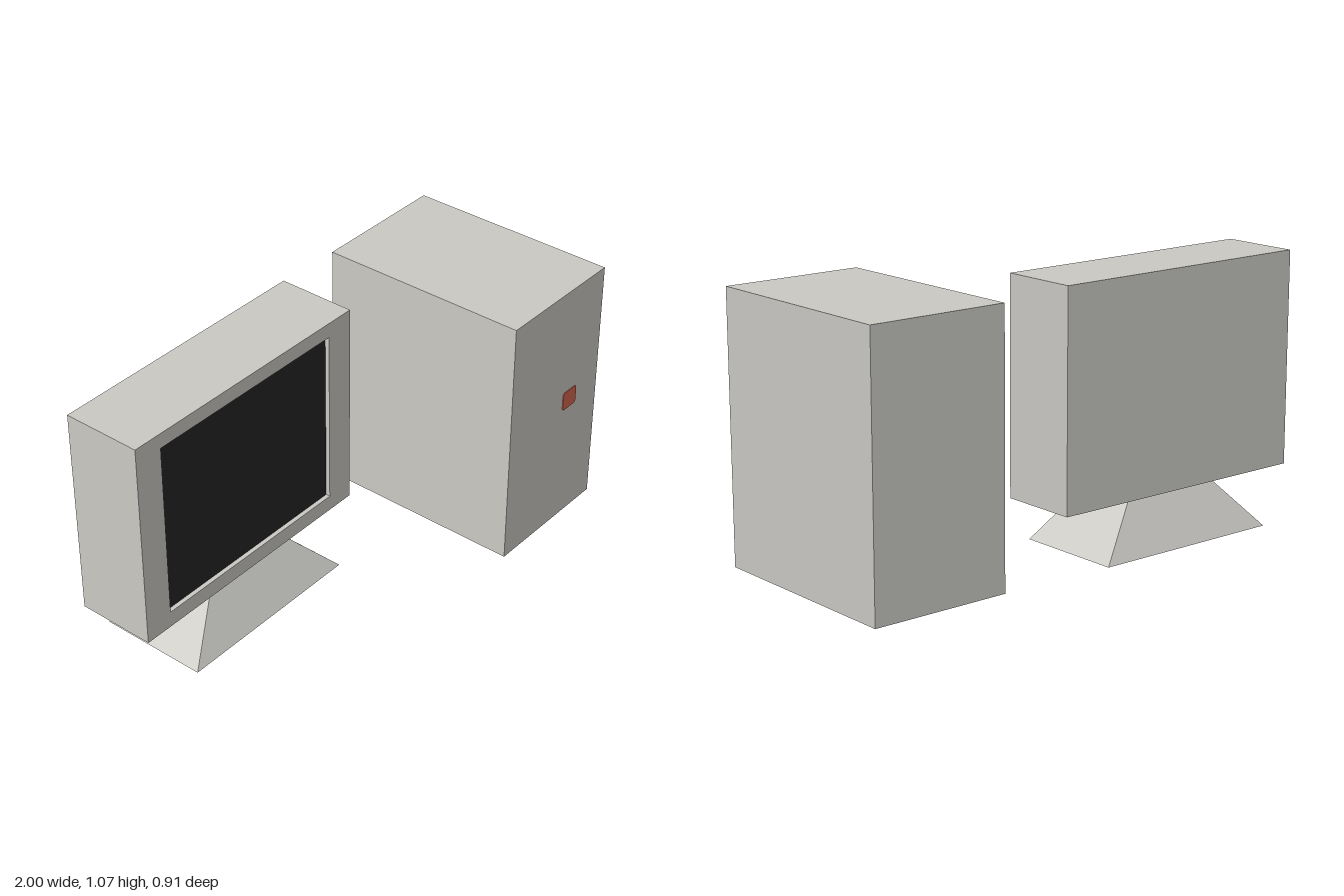
import * as THREE from 'three';

const material = (name, color) => {
  const m = new THREE.MeshStandardMaterial({ color });
  m.name = name;
  return m;
};

// Rectangle path with optional rounded corners
function rectangle(path, x0, y0, x1, y1, r = 0) {
  path.moveTo(x0 + r, y0);
  path.lineTo(x1 - r, y0);
  if (r) path.quadraticCurveTo(x1, y0, x1, y0 + r);
  path.lineTo(x1, y1 - r);
  if (r) path.quadraticCurveTo(x1, y1, x1 - r, y1);
  path.lineTo(x0 + r, y1);
  if (r) path.quadraticCurveTo(x0, y1, x0, y1 - r);
  path.lineTo(x0, y0 + r);
  if (r) path.quadraticCurveTo(x0, y0, x0 + r, y0);
  return path;
}

// Box given by its lower and upper corners
function boxBetween([x0, y0, z0], [x1, y1, z1]) {
  return new THREE.BoxGeometry(x1 - x0, y1 - y0, z1 - z0)
    .translate((x0 + x1) / 2, (y0 + y1) / 2, (z0 + z1) / 2);
}

export function createModel() {
  const model = new THREE.Group();
  model.name = 'desktopComputer';
  const grey = material('caseGrey', 0xcccbc6);
  const black = material('black', 0x252525);
  const red = material('buttonRed', 0xd4664e);

  const add = (parent, name, geometry, mat) => {
    const mesh = new THREE.Mesh(geometry, mat);
    mesh.name = name;
    parent.add(mesh);
    return mesh;
  };

  // Monitor: rear housing, bezel around a recessed screen, flared foot
  const monitor = new THREE.Group();
  monitor.name = 'monitor';
  model.add(monitor);
  const front = -0.082, recess = 0.02;
  add(monitor, 'monitorHousing', boxBetween([-1, 0.22, -0.402], [0.13, 1.07, front - recess]), grey);

  const frame = rectangle(new THREE.Shape(), -1, 0.22, 0.13, 1.07);
  frame.holes.push(rectangle(new THREE.Path(), -0.88, 0.285, 0.01, 1.01));
  const bezel = new THREE.ExtrudeGeometry(frame, { depth: recess, bevelEnabled: false });
  add(monitor, 'bezel', bezel.translate(0, 0, front - recess), grey);

  const screen = new THREE.PlaneGeometry(0.89, 0.725);
  add(monitor, 'screen', screen.translate(-0.435, 0.6475, front - recess + 0.002), black);

  // Foot: a box whose top corners are drawn in
  const foot = new THREE.BoxGeometry(0.81, 0.21, 0.45);
  const p = foot.attributes.position;
  for (let i = 0; i < p.count; i++) {
    if (p.getY(i) > 0) p.setXYZ(i, Math.sign(p.getX(i)) * 0.205, p.getY(i), Math.sign(p.getZ(i)) * 0.118);
  }
  foot.computeVertexNormals();
  add(monitor, 'monitorFoot', foot.translate(-0.432, 0.115, -0.23), grey);

  // Tower case with a black underside
  const tower = new THREE.Group();
  tower.name = 'tower';
  model.add(tower);
  add(tower, 'towerCase', boxBetween([0.43, 0, -0.416], [1, 1.05, 0.452]),
    [grey, grey, grey, black, grey, grey]);

  // Power button
  const button = new THREE.ExtrudeGeometry(
    rectangle(new THREE.Shape(), 0.772, 0.51, 0.857, 0.59, 0.012),
    { depth: 0.005, bevelEnabled: false, curveSegments: 4 });
  add(tower, 'powerButton', button.translate(0, 0, 0.45), red);

  return model;
}
